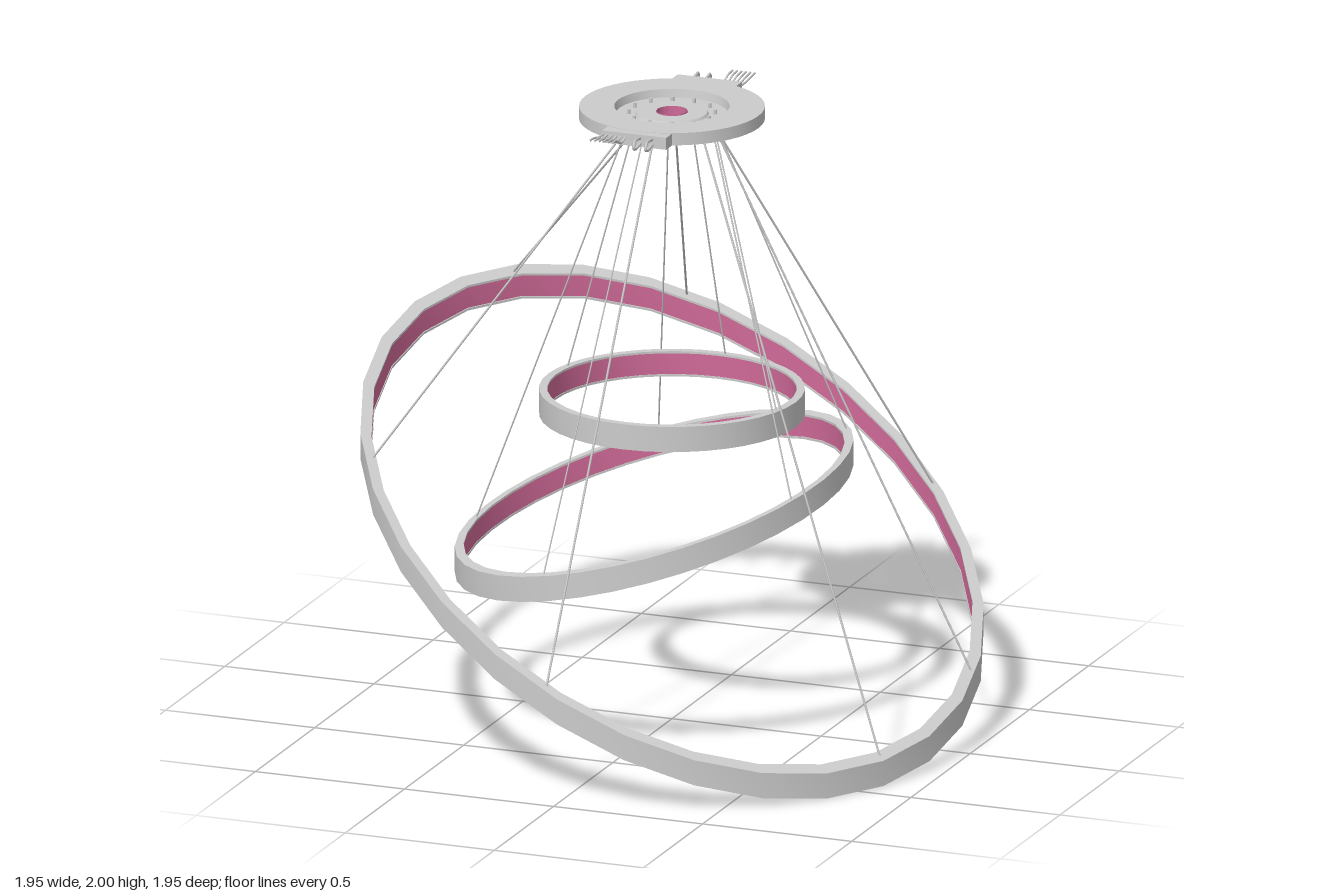
import * as THREE from 'three';
import { toCreasedNormals } from 'three/addons/utils/BufferGeometryUtils.js';

const grey = new THREE.MeshStandardMaterial({ color: 0xcccccc });
const pink = new THREE.MeshStandardMaterial({ color: 0xd06a98 });
const pinkThin = new THREE.MeshStandardMaterial({ color: 0xd06a98, side: THREE.DoubleSide });

function addMesh(parent, name, geometry, material = grey) {
  const mesh = new THREE.Mesh(geometry, material);
  mesh.name = name;
  parent.add(mesh);
  return mesh;
}

function lathe(profile, segments) {
  return new THREE.LatheGeometry(profile.map(([r, y]) => new THREE.Vector2(r, y)), segments);
}

// Lean a ring by raising each point with its x and z; its walls stay upright
function lean(geometry, gx, gz) {
  const p = geometry.attributes.position;
  for (let i = 0; i < p.count; i++) p.setY(i, p.getY(i) + gx * p.getX(i) + gz * p.getZ(i));
  return toCreasedNormals(geometry, 0.5);
}

// Straight round bar between two points
function bar(a, b, radius) {
  const dir = b.clone().sub(a);
  const g = new THREE.CylinderGeometry(radius, radius, dir.length(), 6);
  g.applyQuaternion(new THREE.Quaternion().setFromUnitVectors(new THREE.Vector3(0, 1, 0), dir.clone().normalize()));
  return g.translate(...a.clone().add(b).multiplyScalar(0.5).toArray());
}

const H = 0.041; // half height of a ring band
const LIP = 0.007;

// anchors: [x, z] of each wire on the ring, then optionally [x, z] of its upper end
const rings = [
  { name: 'smallRing', x: 0, y: 1.037, R: 0.415, t: 0.026, gx: 0, gz: 0, sides: 40, wire: 0.0025,
    anchors: [[0.39, 0.1, 0.133, -0.02], [-0.39, -0.1], [0.02, -0.4]] },
  { name: 'middleRing', x: -0.06, y: 0.688, R: 0.622, t: 0.028, gx: 0.257, gz: -0.131, sides: 36, wire: 0.0025,
    anchors: [[-0.665, -0.02, -0.13, 0.04], [-0.27, -0.565], [0.456, -0.327], [0.498, 0.245, 0.135, 0], [-0.197, 0.59]] },
  { name: 'largeRing', x: 0, y: 0.61, R: 0.974, t: 0.035, gx: -0.495, gz: -0.318, sides: 28, wire: 0.0035,
    anchors: [[-0.76, -0.575], [-0.31, -0.905], [0.57, -0.77], [0.948, -0.14], [0.86, 0.41], [-0.045, 0.948], [-0.812, 0.485]] },
];

function makeRing({ name, x, y, R, t, gx, gz, sides }) {
  const ring = new THREE.Group();
  ring.name = name;
  ring.position.set(x, y, 0);
  const inner = R - t, back = inner + 0.004;
  const frame = lathe([[R, -H], [R, H], [inner, H], [inner, H - LIP], [back, H - LIP],
    [back, LIP - H], [inner, LIP - H], [inner, -H], [R, -H]], sides);
  addMesh(ring, 'ringFrame', lean(frame, gx, gz));
  // Glowing strip set in the inner face
  const strip = lathe([[back - 0.002, H - LIP], [back - 0.002, LIP - H]], sides);
  addMesh(ring, 'lightStrip', lean(strip, gx, gz), pink);
  return ring;
}

function makeWires({ name, x, y, gx, gz, wire, anchors }) {
  const wires = new THREE.Group();
  wires.name = name + 'Wires';
  for (const [ax, az, upX = ax, upZ = az] of anchors) {
    const end = new THREE.Vector3(ax, y + H + gx * (ax - x) + gz * az - 0.004, az);
    const k = 0.135 / Math.hypot(upX, upZ);
    const top = new THREE.Vector3(upX * k, 1.94, upZ * k);
    addMesh(wires, 'suspensionWire', bar(top, end, wire));
    // Fitting under the canopy that grips the wire
    const grip = new THREE.CylinderGeometry(0.009, 0.007, 0.03, 10);
    addMesh(wires, 'wireGrip', grip).position.set(top.x, 1.95, top.z);
  }
  return wires;
}

function makeCanopy() {
  const canopy = new THREE.Group();
  canopy.name = 'canopy';
  // Disc with a stepped underside, a sunken middle, a raised collar and a hole for the socket
  const disc = lathe([[0.05, 1.956], [0.11, 1.956], [0.115, 1.963], [0.175, 1.963], [0.175, 1.958], [0.29, 1.958],
    [0.29, 1.998], [0.18, 1.998], [0.175, 1.972], [0.115, 1.972], [0.11, 1.98], [0.05, 1.98], [0.05, 1.956]], 48);
  addMesh(canopy, 'canopyDisc', toCreasedNormals(disc, 0.5));

  // Socket in the middle
  const socket = new THREE.CylinderGeometry(0.048, 0.048, 0.075, 32, 1, true);
  addMesh(canopy, 'socket', socket, pinkThin).position.y = 1.9455;
  const rim = lathe([[0.036, 1.905], [0.053, 1.905], [0.053, 1.914], [0.036, 1.914], [0.036, 1.905]], 32);
  addMesh(canopy, 'socketRim', toCreasedNormals(rim, 0.5));
  addMesh(canopy, 'socketFloor', new THREE.CylinderGeometry(0.046, 0.046, 0.006, 32)).position.y = 1.911;

  // Small screws in the sunken floor
  for (let i = 0; i < 12; i++) {
    const a = (i + 0.3) * Math.PI / 6;
    addMesh(canopy, 'screw', new THREE.CylinderGeometry(0.006, 0.006, 0.016, 8))
      .position.set(0.135 * Math.cos(a), 1.979, 0.135 * Math.sin(a));
  }

  // Two opposite terminal tabs with loose leads
  for (const turn of [0, Math.PI]) {
    const tab = new THREE.Group();
    tab.name = 'terminalTab';
    tab.rotation.y = turn;
    addMesh(tab, 'tabBlock', new THREE.BoxGeometry(0.215, 0.039, 0.07)).position.set(0, 1.9775, 0.285);
    for (let i = 0; i < 6; i++) {
      const x = -0.105 + i * 0.015;
      const lead = new THREE.CatmullRomCurve3([
        new THREE.Vector3(x, 1.985, 0.31), new THREE.Vector3(x, 1.985 - 0.002 * i, 0.355),
        new THREE.Vector3(x - 0.003, 1.992, 0.39), new THREE.Vector3(x - 0.002, 1.994, 0.43)]);
      addMesh(tab, 'thinLead', new THREE.TubeGeometry(lead, 12, 0.0035, 6));
    }
    for (const x of [0.02, 0.06]) {
      // Looped lead: out along the top and back underneath
      const loop = new THREE.CatmullRomCurve3([
        new THREE.Vector3(x, 1.985, 0.31), new THREE.Vector3(x, 1.99, 0.35),
        new THREE.Vector3(x + 0.006, 1.988, 0.385), new THREE.Vector3(x + 0.008, 1.975, 0.395),
        new THREE.Vector3(x + 0.006, 1.967, 0.375), new THREE.Vector3(x, 1.97, 0.31)]);
      addMesh(tab, 'loopedLead', new THREE.TubeGeometry(loop, 20, 0.005, 6));
    }
    canopy.add(tab);
  }
  return canopy;
}

export function createModel() {
  const model = new THREE.Group();
  model.name = 'ringChandelier';
  model.add(makeCanopy());
  for (const ring of rings) model.add(makeRing(ring), makeWires(ring));
  return model;
}
